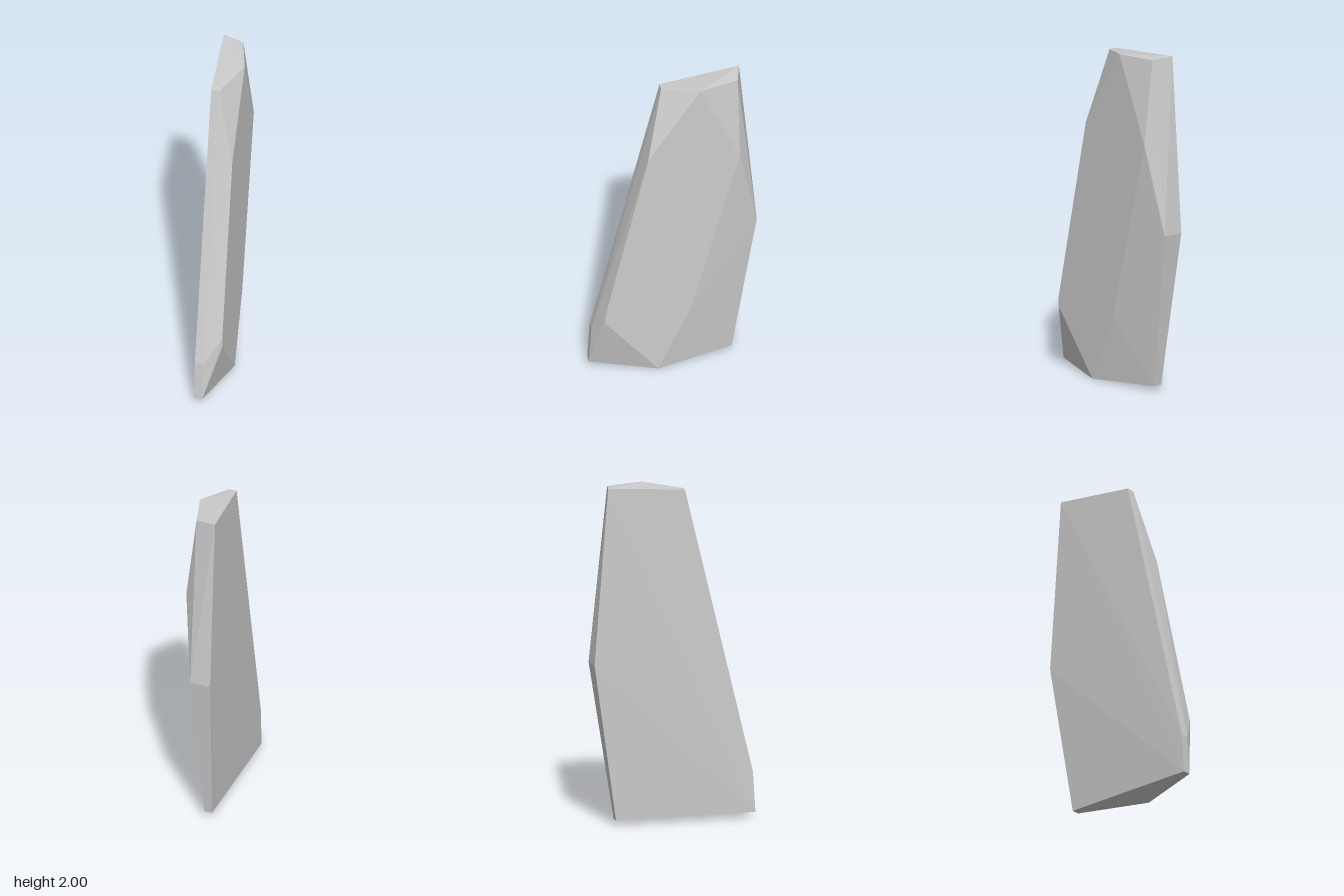
import * as THREE from 'three';
import { ConvexGeometry } from 'three/addons/geometries/ConvexGeometry.js';

const points = (list) => list.map((p) => new THREE.Vector3(...p));

// Ridge points given as [y, z], spanning between two x positions
const ridge = (x0, x1, list) =>
  list.flatMap(([y, z]) => [[x0, y, z], [x1, y, z]]);

export function createModel() {
  const group = new THREE.Group();
  group.name = 'rockSlab';

  // Flat facet on the +x side: outline as [y, z]
  const sideFacet = [
    [1.99, -0.15], [1.52, 0.16], [0.43, 0.41], [0.37, 0.41],
    [0.0, 0.1], [0.41, -0.09], [1.49, -0.38],
  ].map(([y, z]) => [0.092, y, z]);

  // Narrow front edge, from top to foot, and the lower back edge
  const narrowEdges = ridge(-0.056, -0.008, [
    [1.96, 0.065], [0.27, 0.475], [0.03, 0.49], [0.03, -0.35],
  ]);

  // Wider back edge: bulge at mid height and the peak
  const backEdge = [
    [-0.093, 0.96, -0.49], [0.03, 0.96, -0.49],
    [-0.093, 2.0, -0.408], [0.03, 1.99, -0.378],
  ];

  const slab = new THREE.Mesh(
    new ConvexGeometry(points([...sideFacet, ...narrowEdges, ...backEdge])),
    new THREE.MeshStandardMaterial({ color: 0xcccccc, flatShading: true })
  );
  slab.name = 'stoneShard';
  group.add(slab);
  return group;
}
